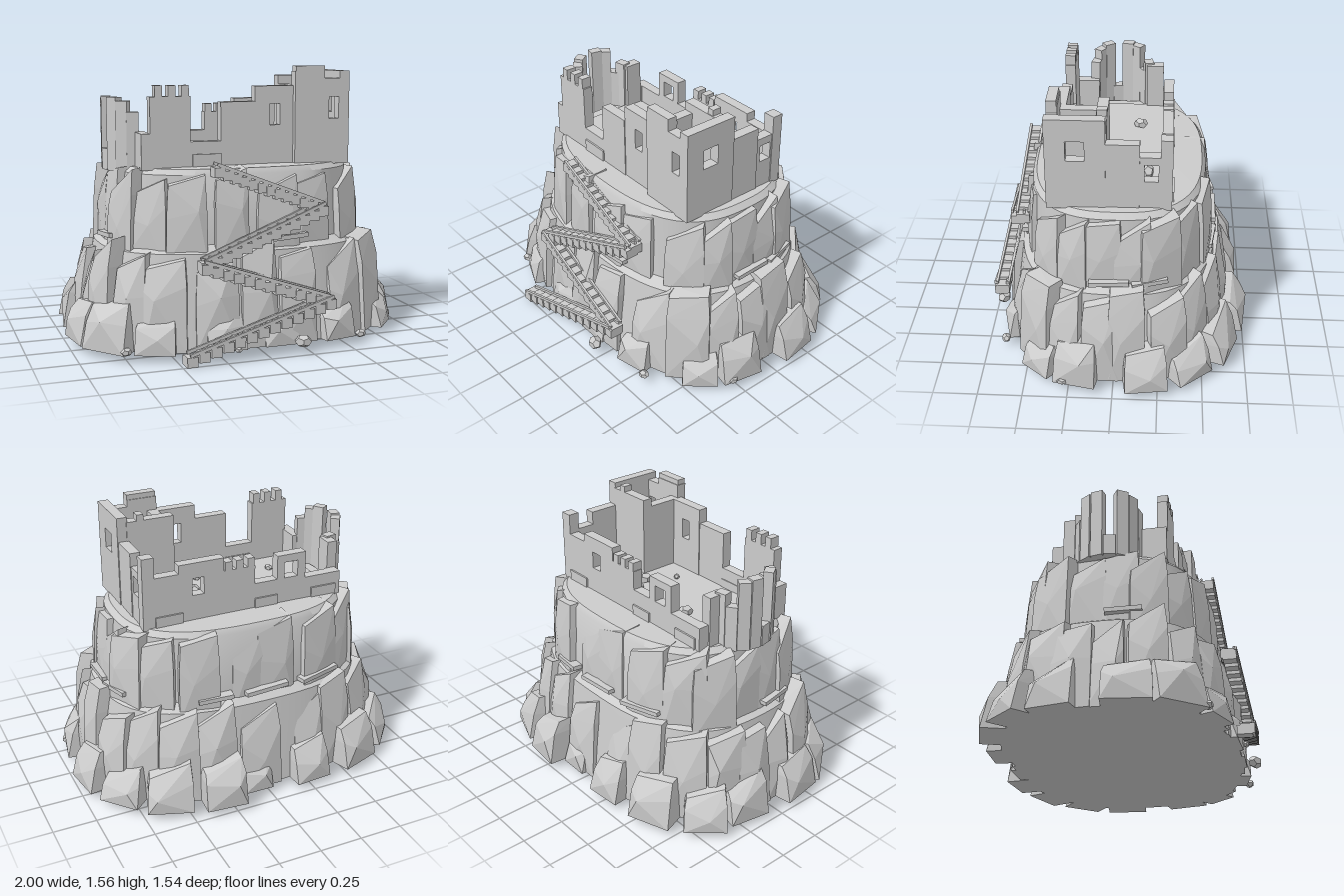
import * as THREE from 'three';
import { toCreasedNormals } from 'three/addons/utils/BufferGeometryUtils.js';
import { ConvexGeometry } from 'three/addons/geometries/ConvexGeometry.js';

const stone = new THREE.MeshStandardMaterial({ color: 0xcccccc });
const POWER = 2.7; // roundness of the hill outline
const ASPECT = 0.72; // hill depth / width

let seed = 11;
const rand = (a = 0, b = 1) => {
  seed = (seed * 16807) % 2147483647;
  return a + (b - a) * (seed / 2147483647);
};

function add(parent, name, geometry) {
  const mesh = new THREE.Mesh(geometry, stone);
  mesh.name = name;
  parent.add(mesh);
  return mesh;
}

function group(parent, name) {
  const g = new THREE.Group();
  g.name = name;
  parent.add(g);
  return g;
}

// Box given by its limits
function block(parent, name, x0, x1, y0, y1, z0, z1) {
  const mesh = add(parent, name, new THREE.BoxGeometry(x1 - x0, y1 - y0, z1 - z0));
  mesh.position.set((x0 + x1) / 2, (y0 + y1) / 2, (z0 + z1) / 2);
}

// Upright wall along x or z, with an optional window [a0, a1, y0, y1]
function wall(parent, name, axis, a0, a1, y0, y1, at, window) {
  const rect = (P, l, r, b, t) => {
    const p = new P();
    p.moveTo(l, b).lineTo(r, b).lineTo(r, t).lineTo(l, t).closePath();
    return p;
  };
  const thick = 0.06;
  const shape = rect(THREE.Shape, a0, a1, y0, y1);
  if (window) shape.holes.push(rect(THREE.Path, ...window));
  const geo = new THREE.ExtrudeGeometry(shape, { depth: thick, bevelEnabled: false });
  if (axis === 'z') geo.rotateY(-Math.PI / 2).translate(at + thick, 0, 0);
  else geo.translate(0, 0, at);
  add(parent, name, geo);
}

// Rounded-rectangle factor for a direction
const squareness = (c, s) => Math.pow(Math.abs(c) ** POWER + Math.abs(s) ** POWER, -1 / POWER);

// Point and outward heading on the hill outline
function outline(angle, rx, rz) {
  const c = Math.cos(angle), s = Math.sin(angle), k = squareness(c, s);
  const nx = Math.sign(c) * Math.abs(k * c) ** (POWER - 1) / rx;
  const nz = Math.sign(s) * Math.abs(k * s) ** (POWER - 1) / rz;
  return { x: rx * k * c, z: rz * k * s, heading: Math.atan2(nx, nz) };
}

// Blocky rock slab: slanted top, square shoulders, outer face leaning inwards
function slab(parent, name, p, w, d, y0, left, right, lean) {
  const h = w / 2, t = h * 0.88, shoulder = rand(0.55, 0.75);
  const at = (top, f) => y0 + (top - y0) * f;
  const pts = [
    [-h, y0, -d], [h, y0, -d], [-h, y0, 0], [h, y0, 0],
    [-h * 0.97, at(left, shoulder), -d], [h * 0.97, at(right, shoulder), -d],
    [-h * 0.97, at(left, shoulder), -lean * 0.45], [h * 0.97, at(right, shoulder), -lean * 0.45],
    [-t, left, -d], [t, right, -d], [-t, left - 0.02, -lean], [t, right - 0.01, -lean],
    [rand(-0.3, 0.3) * w, at(Math.min(left, right), rand(0.4, 0.7)), 0.008],
  ].map((v) => new THREE.Vector3(...v));
  const mesh = add(parent, name, new ConvexGeometry(pts));
  mesh.position.set(p.x, 0, p.z);
  mesh.rotation.y = p.heading;
}

function tier(parent, name, count, rx, rz, y0, low, high, width, lean) {
  for (let i = 0; i < count; i++) {
    const push = rand(-0.015, 0.012);
    const p = outline(((i + rand(0.3, 0.7)) / count) * Math.PI * 2, rx + push, rz + push);
    const top = rand(low, high), drop = rand(0.02, 0.13);
    slab(parent, name, p, width * rand(0.8, 1.15), 0.15, y0, top - drop, top, lean);
  }
}

function pebble(parent, name, x, y, z, r) {
  const geo = new THREE.DodecahedronGeometry(r).scale(1.1, 0.8, 0.85);
  const mesh = add(parent, name, geo);
  mesh.position.set(x, y, z);
  mesh.rotation.y = rand(0, 3);
}

function buildHill(root) {
  const hill = group(root, 'hill');
  const profile = [[0, 0.04], [0.88, 0.04], [0.84, 0.3], [0.79, 0.56], [0.72, 0.6], [0.69, 0.98], [0.66, 1.01], [0, 1.02]];
  const core = new THREE.LatheGeometry(profile.map((p) => new THREE.Vector2(...p)), 64);
  const pos = core.attributes.position;
  for (let i = 0; i < pos.count; i++) {
    const x = pos.getX(i), z = pos.getZ(i), angle = Math.atan2(z, x);
    const k = squareness(Math.cos(angle), Math.sin(angle));
    pos.setXYZ(i, x * k, pos.getY(i), z * k * ASPECT);
  }
  add(hill, 'hillCore', toCreasedNormals(core, 0.6));

  tier(hill, 'upperCliff', 20, 0.765, 0.54, 0.5, 0.97, 1.025, 0.225, 0.03);
  tier(hill, 'lowerCliff', 22, 0.895, 0.65, 0.04, 0.53, 0.65, 0.225, 0.06);

  // Foot boulders: x, z, width, height
  [
    [-0.96, -0.21, 0.24, 0.3], [-0.88, -0.48, 0.24, 0.26], [-0.61, -0.67, 0.26, 0.29], [-0.26, -0.72, 0.22, 0.27],
    [0.08, -0.68, 0.18, 0.22], [0.31, -0.755, 0.24, 0.29], [0.62, -0.67, 0.26, 0.3], [0.86, -0.47, 0.24, 0.24],
    [0.985, -0.19, 0.24, 0.27], [0.95, 0.22, 0.24, 0.28], [0.84, 0.45, 0.2, 0.2], [-0.98, 0.19, 0.26, 0.26],
    [-0.87, 0.46, 0.28, 0.29], [-0.62, 0.62, 0.22, 0.22], [-0.22, 0.665, 0.22, 0.24], [0.1, 0.665, 0.2, 0.2],
    [0.46, 0.65, 0.2, 0.24],
  ].forEach(([x, z, w, h]) => {
    const { heading } = outline(Math.atan2(z / ASPECT, x), 0.95, 0.68);
    slab(hill, 'footBoulder', { x, z, heading }, w, 0.2, 0.04, 0.04 + h * rand(0.65, 0.9), 0.04 + h * 0.95, 0.08);
  });

  // Thin ledge stones between the cliff tiers
  [[0.05, 0.22], [-0.35, 0.2], [-1.2, 0.2], [-1.6, 0.26], [-2.05, 0.26], [2.9, 0.2], [1.35, 0.24]].forEach(([a, w]) => {
    const p = outline(a, 0.75, 0.53);
    const ledge = add(hill, 'ledgeStone', new THREE.BoxGeometry(w, 0.025, 0.08));
    ledge.position.set(p.x, 0.625, p.z);
    ledge.rotation.set(0, p.heading, 0.06);
  });

  [[0.2, 0.07, 0.71, 0.045], [0.58, 0.06, 0.645, 0.03], [-0.17, 0.05, 0.69, 0.02], [-0.76, 0.06, 0.56, 0.03],
    [0.93, 0.06, 0.28, 0.03]].forEach((p) => pebble(hill, 'looseRock', ...p));
}

// Zigzag stairs up the front, each flight with sloping curbs
function buildStairs(root) {
  const stairs = group(root, 'stairs');
  const flights = [
    [[-0.45, 0.03, 0.725], [0.36, 0.265, 0.69]], [[0.36, 0.27, 0.68], [-0.34, 0.5, 0.64]],
    [[-0.34, 0.51, 0.63], [0.36, 0.765, 0.565]], [[0.36, 0.775, 0.535], [-0.23, 1.0, 0.52]],
  ];
  flights.forEach((ends) => {
    const [a, b] = ends.map((p) => new THREE.Vector3(...p));
    const flight = group(stairs, 'stairFlight');
    const steps = 13, dir = b.clone().sub(a);
    for (let i = 0; i < steps; i++) {
      const step = add(flight, 'step', new THREE.BoxGeometry(0.06, 0.055, 0.075));
      step.position.lerpVectors(a, b, i / (steps - 1));
    }
    for (const side of [-1, 1]) {
      const curb = add(flight, 'curb', new THREE.BoxGeometry(dir.length() + 0.03, 0.018, 0.014));
      curb.position.lerpVectors(a, b, 0.5).add(new THREE.Vector3(0, 0.04, side * 0.034));
      curb.rotation.set(0, -Math.atan(dir.z / dir.x), Math.atan(dir.y / dir.x));
    }
  });
  block(stairs, 'bottomStep', -0.48, -0.42, 0, 0.05, 0.67, 0.75);
}

function buildCastle(root) {
  const castle = group(root, 'castle');
  block(castle, 'courtyardFloor', -0.58, 0.58, 0.99, 1.03, -0.28, 0.3);
  const merlons = (xs, y, z, h) => xs.forEach((x) => block(castle, 'merlon', x - 0.021, x + 0.021, y, y + h, z, z + 0.06));

  // Front wall
  wall(castle, 'frontWall', 'x', -0.56, -0.33, 1, 1.4, 0.285);
  wall(castle, 'frontWall', 'x', -0.33, -0.15, 1, 1.15, 0.285);
  wall(castle, 'frontWall', 'x', -0.155, 0.05, 1, 1.365, 0.285);
  wall(castle, 'frontWall', 'x', 0.05, 0.28, 1, 1.45, 0.28, [0.14, 0.2, 1.23, 1.35]);
  merlons([-0.51, -0.435, -0.36], 1.4, 0.285, 0.06);
  block(castle, 'frontPlinth', -0.32, -0.15, 1, 1.08, 0.28, 0.355);

  // Back wall, ruined at the turret end
  wall(castle, 'backWall', 'x', -0.57, -0.38, 1, 1.14, -0.305);
  wall(castle, 'backWall', 'x', -0.38, -0.2, 1, 1.3, -0.305, [-0.33, -0.245, 1.16, 1.255]);
  wall(castle, 'backWall', 'x', -0.2, -0.06, 1, 1.16, -0.305);
  wall(castle, 'backWall', 'x', -0.06, 0.13, 1, 1.27, -0.305);
  wall(castle, 'backWall', 'x', 0.13, 0.4, 1, 1.35, -0.305, [0.25, 0.32, 1.16, 1.26]);
  wall(castle, 'backWall', 'x', 0.4, 0.54, 1, 1.3, -0.305);
  merlons([-0.035, 0.035, 0.1], 1.27, -0.305, 0.05);
  [[-0.5, 0.16], [-0.13, 0.14], [0.46, 0.16]].forEach(([x, w]) => block(castle, 'backPlinth', x - w / 2, x + w / 2, 1, 1.07, -0.315, -0.29));
  block(castle, 'cornerPost', 0.54, 0.61, 1, 1.42, -0.305, -0.24);

  // Side wall with window
  wall(castle, 'sideWall', 'z', -0.24, -0.13, 1, 1.315, 0.545, [-0.23, -0.155, 1.17, 1.27]);
  wall(castle, 'sideWall', 'z', -0.13, 0.05, 1, 1.39, 0.55);

  // Hollow corner tower
  const tower = group(castle, 'cornerTower');
  wall(tower, 'towerFront', 'x', 0.28, 0.46, 1, 1.53, 0.31);
  wall(tower, 'towerFront', 'x', 0.46, 0.61, 1, 1.49, 0.31, [0.49, 0.55, 1.26, 1.385]);
  wall(tower, 'towerSide', 'z', 0.05, 0.37, 1, 1.53, 0.555, [0.16, 0.26, 1.29, 1.405]);
  wall(tower, 'towerInnerSide', 'z', 0.05, 0.31, 1, 1.45, 0.28);
  wall(tower, 'towerBack', 'x', 0.28, 0.56, 1, 1.5, 0.045);
  block(tower, 'towerTopStone', 0.285, 0.46, 1.53, 1.56, 0.315, 0.37);
  block(tower, 'towerTopStone', 0.46, 0.5, 1.5, 1.535, 0.045, 0.1);

  // Opposite side wall, opening into a broken round turret
  wall(castle, 'turretSideWall', 'z', 0.16, 0.345, 1, 1.2, -0.61);
  wall(castle, 'turretSideWall', 'z', -0.24, -0.14, 1, 1.3, -0.62);
  wall(castle, 'turretSideWall', 'z', -0.305, -0.24, 1, 1.14, -0.61);
  const heights = [1.31, 1.24, 1.38, 1.39, 1.1, 1.39, 1.37, 1.31];
  heights.forEach((top, i) => {
    const a = ((i + 0.5) / heights.length) * Math.PI;
    const stave = add(castle, 'turretStave', new THREE.BoxGeometry(0.068, top - 0.98, 0.055));
    stave.position.set(-0.59 - 0.135 * Math.sin(a), (top + 0.98) / 2, 0.015 - 0.165 * Math.cos(a));
    stave.rotation.y = Math.atan2(-Math.sin(a), -Math.cos(a));
  });

  // Rubble in the courtyard
  [[-0.28, -0.11, 0.04], [0.29, -0.16, 0.05], [0.12, -0.17, 0.02], [0.13, -0.1, 0.022], [0.17, -0.11, 0.02],
    [0.19, -0.02, 0.042], [-0.36, 0.11, 0.025], [0.1, 0.15, 0.02]].forEach(([x, z, r]) => pebble(castle, 'rubble', x, 1.035 + r * 0.4, z, r));
}

export function createModel() {
  seed = 11;
  const model = new THREE.Group();
  model.name = 'ruinedHillCastle';
  buildHill(model);
  buildStairs(model);
  buildCastle(model);
  return model;
}
